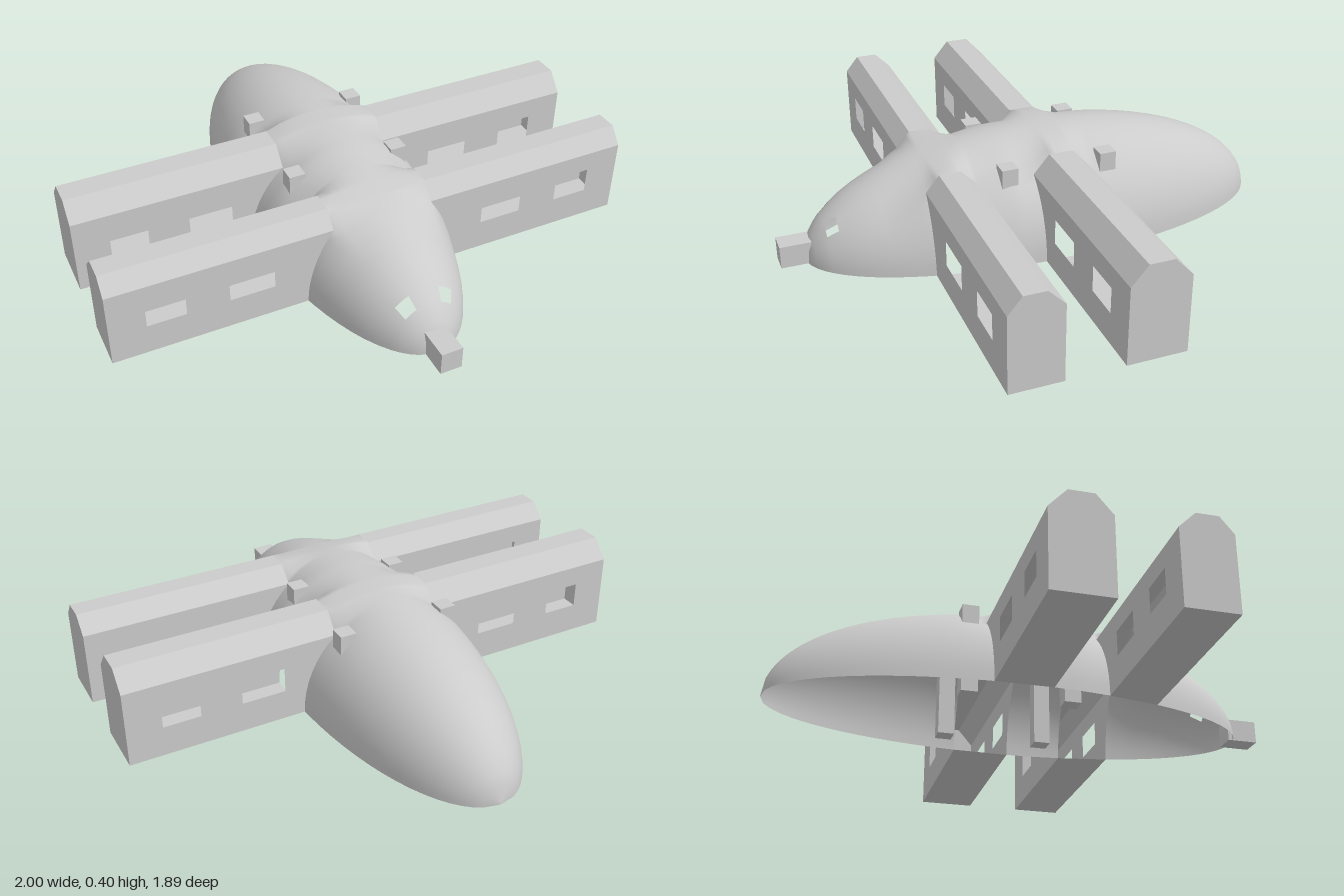
import * as THREE from 'three';

const material = new THREE.MeshStandardMaterial({ color: 0xcccccc, side: THREE.DoubleSide });

// Hull ellipsoid and the roof profiles (z, y) of the two pairs of side wings
const HALF_LENGTH = 0.9, HALF_WIDTH = 0.34, HEIGHT = 0.395, CENTRE_Z = -0.045;
const UPPER = 6, LOWER = 8, SPLIT_ANGLE = 50;
const WINGS = [
  { name: 'frontWing', inner: 0.19, roof: [[0.44, 0.285], [0.39, 0.345], [0.31, 0.345], [0.25, 0.285]] },
  { name: 'rearWing', inner: 0.205, roof: [[0.04, 0.29], [-0.02, 0.36], [-0.11, 0.36], [-0.175, 0.29]] },
];

const mix = THREE.MathUtils.lerp;

function roofHeight(roof, z) {
  if (z >= roof[0][0]) return roof[0][1];
  for (let i = 1; i < roof.length; i++) {
    const [z0, y0] = roof[i - 1], [z1, y1] = roof[i];
    if (z >= z1) return mix(y0, y1, (z - z0) / (z1 - z0));
  }
  return roof[3][1];
}

// Point j of the half section at z: 0 is the ridge, UPPER the wing roof line, the last the rim
function hullPoint(z, j) {
  const s = Math.sqrt(Math.max(0, 1 - ((z - CENTRE_Z) / HALF_LENGTH) ** 2));
  const at = (deg) => {
    const a = THREE.MathUtils.degToRad(deg);
    return [HALF_WIDTH * s * Math.cos(a), HEIGHT * s * Math.sin(a)];
  };
  const upper = j <= UPPER;
  const t = upper ? j / UPPER : (j - UPPER) / LOWER;
  const p = at(upper ? mix(90, SPLIT_ANGLE, t) : SPLIT_ANGLE * (1 - t));
  const split = at(SPLIT_ANGLE);
  // The skin is drawn up to the wing roofs
  for (const { roof, inner } of WINGS) {
    const away = Math.max(0, z - roof[0][0], roof[3][0] - z);
    const w = Math.max(0, 1 - away / 0.08) * (upper ? t * t : (1 - t) ** 2);
    p[0] += (inner - split[0]) * w;
    p[1] += (roofHeight(roof, z) - split[1]) * w;
  }
  return new THREE.Vector3(p[0], Math.max(0, p[1]), z);
}

// Open-bottomed shell with gaps at the wings and two eye windows
function hullGeometry() {
  const rows = [0.74, 0.78, 0.14, 0.18, 0.105];
  for (const { roof } of WINGS) for (const [z] of roof) rows.push(z);
  for (let i = 0; i <= 36; i++) {
    const z = CENTRE_Z + HALF_LENGTH * Math.cos((Math.PI * i) / 36);
    if (!rows.some((r) => Math.abs(r - z) < 0.012)) rows.push(z);
  }
  rows.sort((a, b) => b - a);
  const n = UPPER + LOWER, width = 2 * n + 1;
  const positions = [], index = [];
  rows.forEach((z) => {
    for (let j = -n; j <= n; j++) {
      const p = hullPoint(z, Math.abs(j));
      positions.push(Math.sign(j) * p.x, p.y, p.z);
    }
  });
  for (let r = 0; r < rows.length - 1; r++) {
    const z = (rows[r] + rows[r + 1]) / 2;
    const atWing = WINGS.some(({ roof }) => z < roof[0][0] && z > roof[3][0]);
    const atEye = z > 0.74 && z < 0.78;
    for (let j = -n; j < n; j++) {
      const k = Math.abs(j + 0.5);
      if ((atWing && k > UPPER) || (atEye && k > 3 && k < UPPER)) continue;
      const a = r * width + j + n, b = a + 1, c = a + width, d = c + 1;
      index.push(a, b, c, b, d, c);
    }
  }
  const g = new THREE.BufferGeometry();
  g.setAttribute('position', new THREE.Float32BufferAttribute(positions, 3));
  g.setIndex(index);
  g.computeVertexNormals();
  return g;
}

// Flat convex panel from its corners, counter-clockwise from outside
function panelGeometry(corners) {
  const points = [];
  for (let i = 1; i < corners.length - 1; i++) points.push(corners[0], corners[i], corners[i + 1]);
  const g = new THREE.BufferGeometry().setFromPoints(points);
  g.computeVertexNormals();
  return g;
}

// Wing side wall: its inner edge follows the hull, with two window openings
function wallGeometry(z, top, facesBack) {
  const shape = new THREE.Shape();
  shape.moveTo(1, 0);
  shape.lineTo(1, top);
  for (let j = UPPER; j <= UPPER + LOWER; j++) {
    const p = hullPoint(z, j);
    shape.lineTo(p.x, p.y);
  }
  for (const [x0, x1] of [[0.41, 0.575], [0.73, 0.87]]) {
    const hole = new THREE.Path();
    hole.moveTo(x0, 0.115);
    hole.lineTo(x0, 0.21);
    hole.lineTo(x1, 0.21);
    hole.lineTo(x1, 0.115);
    shape.holes.push(hole);
  }
  const g = new THREE.ShapeGeometry(shape).translate(0, 0, z);
  if (facesBack) {
    g.index.array.reverse();
    g.computeVertexNormals();
  }
  return g;
}

function add(parent, name, geometry) {
  const mesh = new THREE.Mesh(geometry, material);
  mesh.name = name;
  parent.add(mesh);
  return mesh;
}

// Hollow wing on the +x side, open towards the hull
function createWing(roof) {
  const wing = new THREE.Group();
  const V = (x, y, z) => new THREE.Vector3(x, y, z);
  const zFront = roof[0][0], zBack = roof[3][0];
  add(wing, 'frontWall', wallGeometry(zFront, roof[0][1], false));
  add(wing, 'backWall', wallGeometry(zBack, roof[3][1], true));
  for (let i = 0; i < 3; i++) {
    const [z0, y0] = roof[i], [z1, y1] = roof[i + 1];
    add(wing, 'roofPanel', panelGeometry([
      hullPoint(z0, UPPER), V(1, y0, z0), V(1, y1, z1), hullPoint(z1, UPPER)]));
  }
  add(wing, 'endWall', panelGeometry([
    V(1, 0, zFront), V(1, 0, zBack), ...[...roof].reverse().map(([z, y]) => V(1, y, z))]));
  const rim = UPPER + LOWER;
  add(wing, 'floor', panelGeometry([
    V(1, 0, zFront), hullPoint(zFront, rim), hullPoint(zBack, rim), V(1, 0, zBack)]));
  return wing;
}

export function createModel() {
  const model = new THREE.Group();
  model.name = 'wingedHall';
  add(model, 'hull', hullGeometry());

  for (const side of [1, -1]) {
    const prefix = side > 0 ? 'left' : 'right';
    // Two wings per side
    for (const { name, roof } of WINGS) {
      const wing = createWing(roof);
      wing.name = prefix + name[0].toUpperCase() + name.slice(1);
      wing.scale.x = side;
      model.add(wing);
    }
    // Posts rising from the ground through the hull
    for (const z of [0.14, -0.24]) {
      add(model, prefix + 'Post', new THREE.BoxGeometry(0.062, 0.34, 0.062))
        .position.set(side * 0.203, 0.17, z);
    }
  }

  // Entrance block at the nose
  add(model, 'entrance', new THREE.BoxGeometry(0.08, 0.085, 0.115)).position.set(0, 0.0425, 0.8875);
  return model;
}
